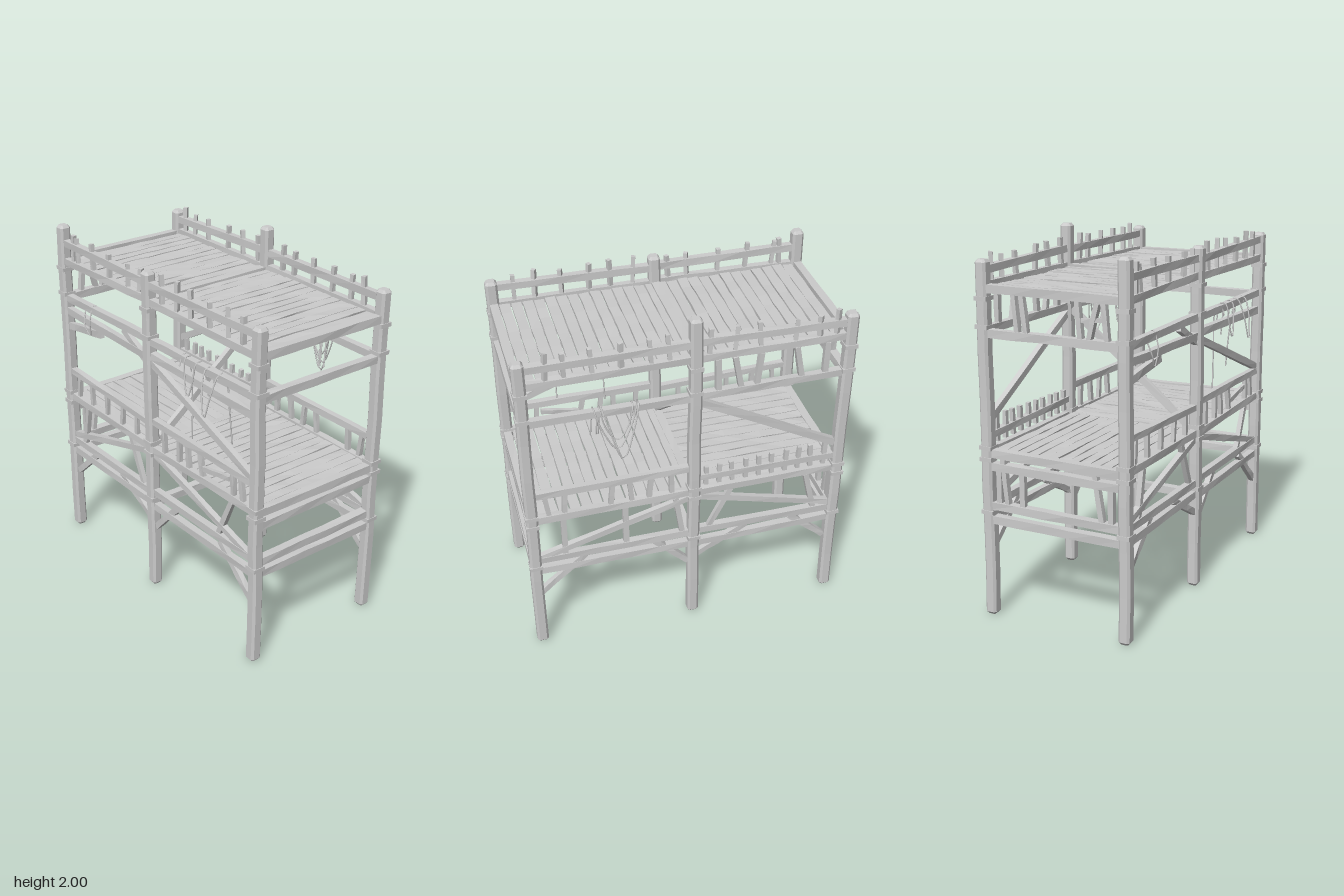
import * as THREE from 'three';

const wood = new THREE.MeshStandardMaterial({ color: 0xcccccc, flatShading: true });
const ropeMat = new THREE.MeshStandardMaterial({ color: 0xcccccc });
const V = (x, y, z) => new THREE.Vector3(x, y, z);

let seed = 7;
function rand() {
  seed = (seed * 16807) % 2147483647;
  return seed / 2147483647 - 0.5;
}

// Roughly hewn timber from a to b; w is the sideways width, h the other one
function timber(parent, name, a, b, w, h, rough = 0.004, segs = 5) {
  const len = a.distanceTo(b);
  const geo = new THREE.BoxGeometry(w, h, len, 1, 1, segs);
  const pos = geo.attributes.position;
  const moved = {};
  for (let i = 0; i < pos.count; i++) {
    const key = [pos.getX(i), pos.getY(i), pos.getZ(i)].map(n => n.toFixed(4)).join();
    moved[key] ??= [rand() * rough, rand() * rough, rand() * rough];
    const [dx, dy, dz] = moved[key];
    pos.setXYZ(i, pos.getX(i) + dx, pos.getY(i) + dy, pos.getZ(i) + dz);
  }
  geo.computeVertexNormals();
  const mesh = new THREE.Mesh(geo, wood);
  mesh.name = name;
  mesh.position.copy(a).add(b).multiplyScalar(0.5);
  mesh.lookAt(b);
  parent.add(mesh);
  return mesh;
}

// Square post with chamfered edges and bevelled ends
function post(parent, x, z, height) {
  const shape = new THREE.Shape();
  const r = 0.03, c = 0.019;
  [[r, -c], [r, c], [c, r], [-c, r], [-r, c], [-r, -c], [-c, -r], [c, -r]]
    .forEach(([u, v], i) => (i ? shape.lineTo(u, v) : shape.moveTo(u, v)));
  const geo = new THREE.ExtrudeGeometry(shape, {
    depth: height - 0.03, steps: 8, bevelEnabled: true,
    bevelThickness: 0.015, bevelSize: 0.012, bevelOffset: -0.01, bevelSegments: 1,
  });
  geo.rotateX(-Math.PI / 2);
  const pos = geo.attributes.position;
  for (let i = 0; i < pos.count; i++) {
    const y = pos.getY(i);
    pos.setX(i, pos.getX(i) + 0.002 * Math.sin(y * 9 + z * 5));
    pos.setZ(i, pos.getZ(i) + 0.002 * Math.cos(y * 8 + x * 7));
  }
  geo.computeVertexNormals();
  const mesh = new THREE.Mesh(geo, wood);
  mesh.name = 'post';
  mesh.position.set(x, 0.015, z);
  parent.add(mesh);
  // Lashing bands around the post
  for (const y of [0.58, 0.87, 0.93, 1.56, 1.71]) {
    const band = new THREE.Mesh(new THREE.BoxGeometry(0.071, 0.022, 0.071), wood);
    band.name = 'postBand';
    band.position.set(x, y + rand() * 0.01, z);
    band.rotation.set(rand() * 0.08, 0, rand() * 0.08);
    parent.add(band);
  }
}

function rope(parent, points) {
  const curve = new THREE.CatmullRomCurve3(points.map(p => V(...p)));
  const mesh = new THREE.Mesh(new THREE.TubeGeometry(curve, 28, 0.004, 6), ropeMat);
  mesh.name = 'rope';
  parent.add(mesh);
}

export function createModel() {
  seed = 7;
  const model = new THREE.Group();
  model.name = 'scaffoldTower';
  const part = name => {
    const g = new THREE.Group();
    g.name = name;
    model.add(g);
    return g;
  };
  const X = 0.4, ZF = 0.858, ZM = -0.032, ZB = -0.858;

  const posts = part('posts');
  for (const [x, z, h] of [[X, ZF, 1.9], [X, ZM, 2], [X, ZB, 1.9], [-X, ZF, 1.9], [-X, ZM, 1.92], [-X, ZB, 1.96]])
    post(posts, x, z, h);

  // Cross beams at both ends and the middle
  const beams = part('crossBeams');
  for (const z of [ZF, ZM, ZB])
    for (const y of [0.54, 0.615, 0.83, 0.9, 1.53, 1.75]) {
      if (z === ZM && (y === 0.615 || y === 1.53)) continue;
      timber(beams, 'crossBeam', V(-0.385, y + rand() * 0.01, z), V(0.385, y + rand() * 0.01, z), 0.045, 0.043);
    }
  timber(beams, 'crossBrace', V(-0.37, 0.92, ZM), V(0.37, 1.52, ZM), 0.03, 0.036);

  // Long beams and rails on both sides, one per bay
  const rails = part('sideRails');
  const bays = [[ZF - 0.02, ZM + 0.02], [ZM - 0.02, ZB + 0.02]];
  for (const x of [X, -X])
    for (const [z0, z1] of bays) {
      for (const y of [0.54, 0.62, 0.9, 1.535, 1.76, 1.855])
        timber(rails, 'sideRail', V(x, y + rand() * 0.02, z0), V(x, y + rand() * 0.02, z1), 0.038, 0.04);
      if (x < 0) timber(rails, 'lowRail', V(x, 1.44, z0), V(x, 1.455, z1), 0.035, 0.042);
    }

  // Balusters of the top railing
  const balusters = part('balusters');
  const topZ = [0.73, 0.635, 0.495, 0.35, 0.195, 0.1, -0.1, -0.235, -0.375, -0.555, -0.69, -0.78];
  for (const x of [X, -X])
    for (const z0 of topZ) {
      const z = z0 + (x < 0 ? rand() * 0.06 : 0);
      timber(balusters, 'topBaluster', V(x, 1.76, z), V(x + rand() * 0.01, 1.92 + rand() * 0.03, z + rand() * 0.03), 0.024, 0.022, 0.003, 2);
    }

  // Lower deck railing
  for (const x of [X, -X]) {
    timber(rails, 'lowerHandrail', V(x, 1.065, ZF - 0.02), V(x, 1.07, ZM), 0.035, 0.038);
    for (const z of [0.76, 0.68, 0.43, 0.31, 0.22, 0.09])
      timber(balusters, 'lowerBaluster', V(x, 0.9, z), V(x, 1.06, z + rand() * 0.06), 0.024, 0.026, 0.003, 2);
  }
  timber(rails, 'looseSlat', V(-X, 1.005, 0.65), V(-X, 0.965, 0.42), 0.02, 0.028);
  timber(rails, 'backHandrail', V(X, 1, ZM), V(X, 0.99, ZB), 0.035, 0.035);
  timber(rails, 'backHandrail', V(-X, 1.045, ZM), V(-X, 1.075, ZB), 0.035, 0.035);
  for (let i = 0; i < 10; i++) {
    const z = -0.1 - i * 0.075;
    timber(balusters, 'smallBaluster', V(X, 0.94, z), V(X, 1.06 + i * 0.003, z + rand() * 0.02), 0.022, 0.024, 0.003, 2);
    if (i % 2) timber(balusters, 'backBaluster', V(-X, 0.9, z), V(-X, 1.05, z + rand() * 0.04), 0.022, 0.024, 0.003, 2);
  }

  // Struts between paired side beams: [x, z bottom, z top, y bottom, y top]
  for (const [x, za, zb, y0, y1] of [
    [X, -0.155, -0.15, 1.54, 1.74], [X, -0.28, -0.24, 1.53, 1.74], [X, -0.36, -0.38, 1.53, 1.74],
    [X, -0.61, -0.57, 1.53, 1.74], [X, -0.735, -0.735, 1.54, 1.74],
    [X, 0.69, 0.69, 0.62, 0.88], [X, 0.35, 0.35, 0.62, 0.88], [X, 0.03, 0.07, 0.62, 0.88],
    [X, -0.12, -0.24, 0.63, 0.88], [X, -0.74, -0.68, 0.63, 0.88],
    [-X, 0.56, 0.67, 0.63, 0.88], [-X, -0.12, -0.23, 0.63, 0.88], [-X, -0.73, -0.68, 0.63, 0.88],
  ]) timber(balusters, 'strut', V(x, y0, za), V(x, y1, zb), 0.026, 0.03, 0.003, 2);

  // Struts in the back end: [x bottom, x top, y bottom, y top]
  for (const [xa, xb, y0, y1] of [
    [-0.305, -0.285, 1.53, 1.74], [-0.2, -0.25, 1.53, 1.73], [-0.16, -0.14, 1.53, 1.74], [0.15, 0.175, 1.53, 1.74], [0.2, 0.22, 1.53, 1.74],
    [-0.32, -0.32, 0.62, 0.82], [-0.27, -0.23, 0.62, 0.88], [0.195, 0.195, 0.62, 0.82], [0.285, 0.31, 0.62, 0.88], [0.335, 0.335, 0.62, 0.82],
  ]) timber(balusters, 'endStrut', V(xa, y0, ZB), V(xb, y1, ZB), 0.03, 0.026, 0.003, 2);
  timber(balusters, 'endSlat', V(-0.28, 1.65, ZB), V(-0.15, 1.64, ZB), 0.02, 0.02, 0.003, 2);

  // Diagonal braces on the long sides
  const braces = part('braces');
  for (const x of [X, -X]) {
    timber(braces, 'lowBrace', V(x, 0.63, 0.82), V(x, 0.865, 0), 0.03, 0.036);
    timber(braces, 'lowBrace', V(x, 0.865, -0.06), V(x, 0.65, -0.83), 0.03, 0.036);
    for (const [y0, z0, y1, z1] of [[0.37, 0.84, 0.6, 0.58], [0.4, 0, 0.61, 0.2], [0.44, -0.05, 0.6, -0.34], [0.4, -0.82, 0.6, -0.6]])
      timber(braces, 'kneeBrace', V(x, y0, z0), V(x, y1, z1), 0.03, 0.034);
  }
  timber(braces, 'highBrace', V(-X, 1.09, 0.83), V(-X, 1.42, -0.02), 0.03, 0.04);
  timber(braces, 'highBrace', V(X, 1.5, -0.05), V(X, 1.08, -0.83), 0.03, 0.04);
  timber(braces, 'shortBrace', V(-X, 1.4, -0.04), V(-X, 1.52, -0.27), 0.03, 0.036);
  timber(braces, 'brokenBoard', V(-X, 1.41, -0.5), V(-X, 1.36, -0.83), 0.03, 0.04);

  // Upper deck: planks laid across
  const upper = part('upperDeck');
  const pitch = 0.0615;
  for (let i = 0; i < 27; i++) {
    const z = 0.8 - i * pitch;
    const m = timber(upper, 'plank', V(-0.378 + rand() * 0.01, 1.752, z), V(0.382 + rand() * 0.01, 1.752, z), 0.055, 0.02, 0.005, 8);
    m.position.y += rand() * 0.006;
  }
  // Lower deck: planks across the front bay and along the back bay
  const lower = part('lowerDeck');
  for (let i = 0; i < 14; i++) {
    const z = 0.8 - i * pitch;
    timber(lower, 'plank', V(-0.378, 0.905 + rand() * 0.006, z), V(0.38, 0.905 + rand() * 0.006, z), 0.055, 0.02, 0.005, 8);
  }
  for (let i = 0; i < 12; i++) {
    const x = -0.345 + i * 0.0627;
    timber(lower, 'plank', V(x, 0.905 + rand() * 0.006, -0.04), V(x, 0.905 + rand() * 0.006, -0.84), 0.056, 0.02, 0.005, 8);
  }

  // Ropes slung over the side rails
  const ropes = part('ropes');
  for (const [s, z0, z1, low, out] of [
    [1, 0.27, 0.46, 1.26, 0.065], [1, 0.28, 0.5, 1.32, 0.05], [1, 0.3, 0.47, 1.37, 0.04],
    [-1, 0.48, 0.58, 1.32, 0.075], [-1, 0.31, 0.4, 1.36, 0.045],
  ]) {
    const zm = (z0 + z1) / 2, d = (z1 - z0) * 0.35;
    rope(ropes, [
      [s * 0.365, 1.45, z0], [s * 0.385, 1.56, z0], [s * 0.42, 1.56, z0],
      [s * (X + out * 0.8), 1.45, zm - d], [s * (X + out), low, zm], [s * (X + out * 0.8), 1.45, zm + d],
      [s * 0.42, 1.56, z1], [s * 0.385, 1.56, z1], [s * 0.35, 1.36, z1 + 0.01],
    ]);
  }
  rope(ropes, [[-0.42, 1.53, 0.57], [-0.4, 1.565, 0.575], [-0.37, 1.53, 0.575], [-0.34, 1.36, 0.565], [-0.32, 1.14, 0.565]]);
  rope(ropes, [[-0.43, 1.5, 0.27], [-0.4, 1.565, 0.27], [-0.37, 1.52, 0.275], [-0.36, 1.3, 0.285], [-0.36, 1.05, 0.28]]);
  rope(ropes, [[-0.37, 1.52, -0.55], [-0.4, 1.565, -0.57], [-0.43, 1.48, -0.57], [-0.42, 1.38, -0.59], [-0.43, 1.44, -0.63], [-0.4, 1.54, -0.65]]);
  return model;
}
